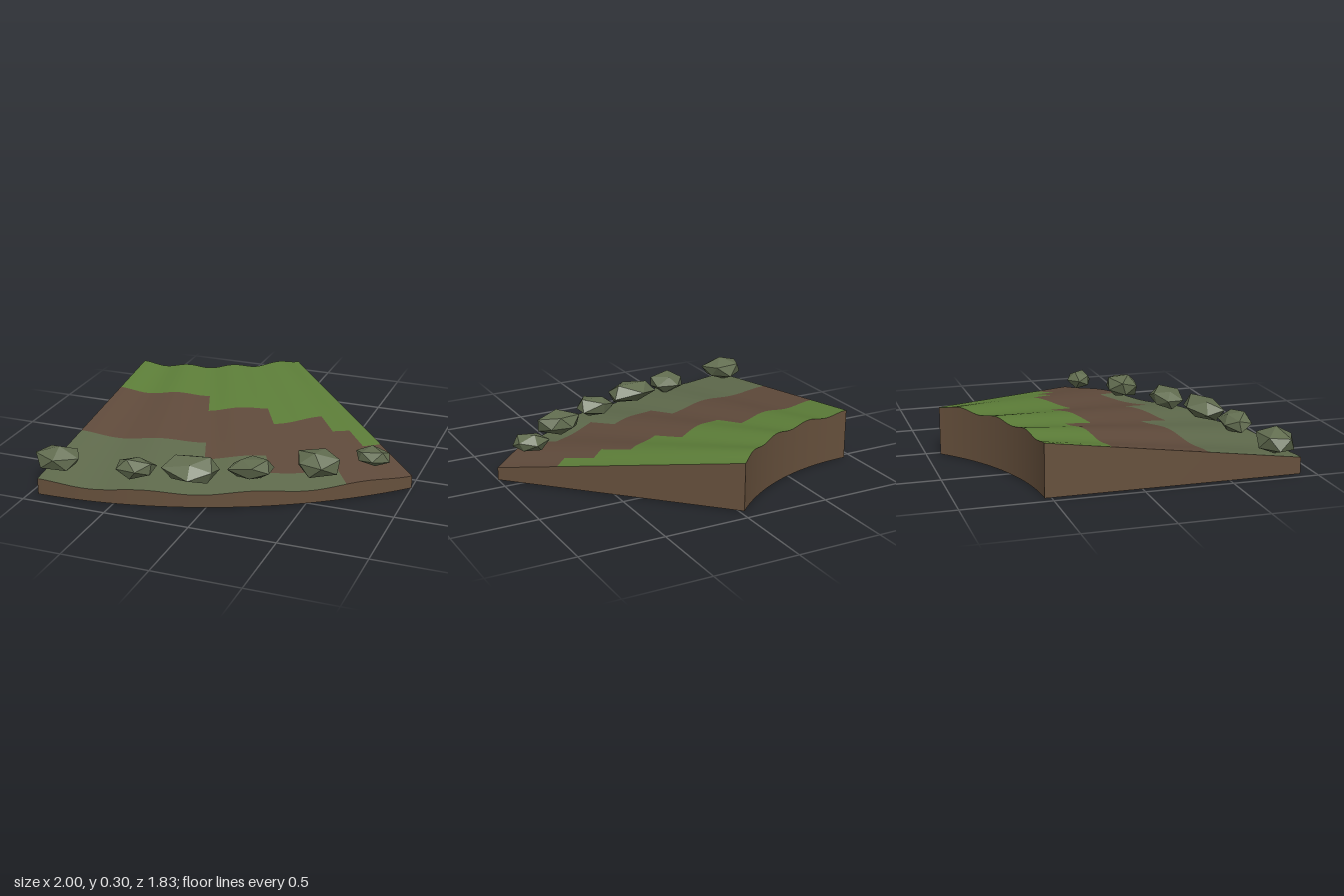
import * as THREE from 'three';

// Ring sector: 45 degree wedge of a sloping bank
const CX = -0.95, CZ = -1.842, R0 = 1.305, R1 = 2.757;
const ROWS = 8, COLS = 64, SWEEP = Math.PI / 4;

const mat = (name, color, extra = {}) => {
  const m = new THREE.MeshStandardMaterial({ color, ...extra });
  m.name = name;
  return m;
};

// Point on the bank: u runs from the high inner rim to the low outer rim, v around the arc
function point(u, v, flat = false) {
  const r = R0 + (R1 - R0) * u, a = SWEEP * v;
  const y = flat ? 0 : 0.29 - 0.205 * u + 0.01 * Math.cos(Math.PI * 7 * v);
  return [CX + r * Math.sin(a), y, CZ + r * Math.cos(a)];
}

// Stepped colour bands: the row where each band starts for a given column
const step = (col, ends, first) => first + ends.filter((e) => col >= e).length;
const dirtStart = (col) => step(col, [28, 44, 56, 60], 2);
const mossStart = (col) => step(col, [28, 40, 52], 5);

function gridGeometry(flat) {
  const pos = [], bands = [[], [], []];
  for (let i = 0; i <= ROWS; i++) {
    for (let j = 0; j <= COLS; j++) pos.push(...point(i / ROWS, j / COLS, flat));
  }
  for (let j = 0; j < COLS; j++) {
    for (let i = 0; i < ROWS; i++) {
      const a = i * (COLS + 1) + j, b = a + COLS + 1, c = b + 1, d = a + 1;
      const band = i < dirtStart(j) ? 0 : i < mossStart(j) ? 1 : 2;
      bands[band].push(...(flat ? [a, c, b, a, d, c] : [a, b, c, a, c, d]));
    }
  }
  const g = new THREE.BufferGeometry();
  g.setAttribute('position', new THREE.Float32BufferAttribute(pos, 3));
  g.setIndex(bands.flat());
  let start = 0;
  if (!flat) bands.forEach((b, k) => { g.addGroup(start, b.length, k); start += b.length; });
  g.computeVertexNormals();
  return g;
}

// Vertical skirt under a line of (u, v) positions, facing right of travel
function wallGeometry(n, uv) {
  const pos = [], idx = [];
  for (let i = 0; i <= n; i++) {
    const [u, v] = uv(i / n);
    pos.push(...point(u, v, true), ...point(u, v));
    if (i < n) {
      const k = i * 2;
      idx.push(k, k + 2, k + 3, k, k + 3, k + 1);
    }
  }
  const g = new THREE.BufferGeometry();
  g.setAttribute('position', new THREE.Float32BufferAttribute(pos, 3));
  g.setIndex(idx);
  g.computeVertexNormals();
  return g;
}

// Faceted boulder: jittered icosahedron fitted to a box
function rockGeometry(seed, min, max) {
  const g = new THREE.IcosahedronGeometry(1, 0);
  const p = g.attributes.position;
  const spin = seed * 1.3;
  const hash = (x, y, z) => {
    const s = Math.sin(x * 12.9 + y * 78.2 + z * 37.7 + seed * 5.1) * 437.58;
    return s - Math.floor(s);
  };
  const v = new THREE.Vector3();
  for (let i = 0; i < p.count; i++) {
    v.fromBufferAttribute(p, i);
    const [x, y, z] = v.toArray().map((c) => Math.round(c * 100) / 100);
    v.multiplyScalar(0.82 + 0.36 * hash(x, y, z));
    v.applyEuler(new THREE.Euler(spin, spin * 0.7, 0.4));
    p.setXYZ(i, v.x, v.y, v.z);
  }
  g.computeBoundingBox();
  const size = g.boundingBox.getSize(new THREE.Vector3());
  const mid = g.boundingBox.getCenter(new THREE.Vector3());
  g.translate(-mid.x, -mid.y, -mid.z);
  g.scale(...[0, 1, 2].map((k) => (max[k] - min[k]) / size.getComponent(k)));
  g.translate(...[0, 1, 2].map((k) => (max[k] + min[k]) / 2));
  g.computeVertexNormals();
  return g;
}

export function createModel() {
  const model = new THREE.Group();
  model.name = 'riverBankCorner';
  const grass = mat('grass', 0x5c7d38);
  const dirt = mat('dirt', 0x5f4a3b);
  const moss = mat('moss', 0x5f6a4c);
  const earth = mat('earth', 0x66503c);
  const stone = mat('stone', 0x626d50, { flatShading: true });

  const add = (name, geometry, material, parent = model) => {
    const m = new THREE.Mesh(geometry, material);
    m.name = name;
    parent.add(m);
  };

  // Banded top, underside and four side walls
  add('slopeTop', gridGeometry(false), [grass, dirt, moss]);
  add('underside', gridGeometry(true), earth);
  add('outerWall', wallGeometry(COLS, (t) => [1, t]), earth);
  add('innerWall', wallGeometry(COLS, (t) => [0, 1 - t]), earth);
  add('rightEndWall', wallGeometry(ROWS, (t) => [t, 0]), earth);
  add('leftEndWall', wallGeometry(ROWS, (t) => [1 - t, 1]), earth);

  // Boulders along the outer rim
  const rocks = new THREE.Group();
  rocks.name = 'rocks';
  model.add(rocks);
  [
    [[-1.0, 0.11, 0.69], [-0.735, 0.26, 0.895]],
    [[-0.54, 0.11, 0.66], [-0.32, 0.235, 0.835]],
    [[-0.285, 0.115, 0.54], [0.02, 0.245, 0.79]],
    [[0.07, 0.12, 0.445], [0.3, 0.235, 0.625]],
    [[0.39, 0.12, 0.25], [0.645, 0.255, 0.455]],
    [[0.67, 0.13, 0.06], [0.88, 0.23, 0.22]],
  ].forEach(([min, max], i) => add('rock', rockGeometry(i + 1, min, max), stone, rocks));

  return model;
}
